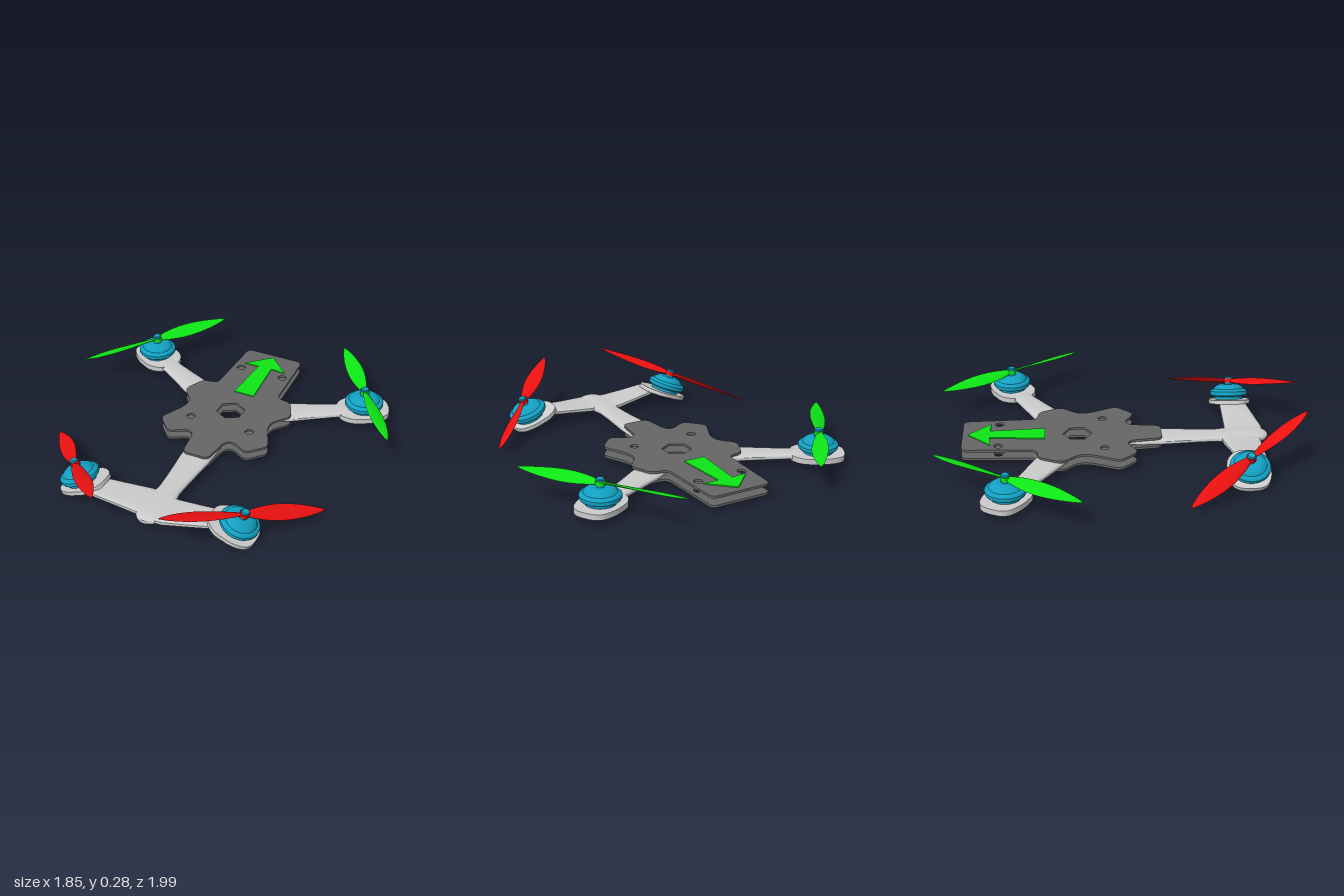
import * as THREE from 'three';
import { toCreasedNormals } from 'three/addons/utils/BufferGeometryUtils.js';

const mat = (color) => new THREE.MeshStandardMaterial({ color });
const GREY = mat(0xcccccc), PLATE = mat(0x666666), BLUE = mat(0x12a0c2);
const GREEN = mat(0x0ee616), RED = mat(0xee1111);

function add(parent, name, geometry, material) {
  const mesh = new THREE.Mesh(geometry, material);
  mesh.name = name;
  parent.add(mesh);
  return mesh;
}

// Closed polygon with softened corners; points are [x, z] seen from above.
function roundedShape(points, radius) {
  const p = points.map(([x, z]) => new THREE.Vector2(x, -z));
  const shape = new THREE.Shape();
  p.forEach((c, i) => {
    const toward = (o) => c.clone().lerp(o, Math.min(0.48, radius / c.distanceTo(o)));
    const a = toward(p[(i + p.length - 1) % p.length]);
    const b = toward(p[(i + 1) % p.length]);
    if (i) shape.lineTo(a.x, a.y);
    else shape.moveTo(a.x, a.y);
    shape.quadraticCurveTo(c.x, c.y, b.x, b.y);
  });
  shape.closePath();
  return shape;
}

// Flat slab lying in xz, from y = 0 up to y = depth.
function slab(shape, depth) {
  const geo = new THREE.ExtrudeGeometry(shape, { depth, bevelEnabled: false, curveSegments: 8 });
  return toCreasedNormals(geo.rotateX(-Math.PI / 2), 0.6);
}

// Lofted solid along x. Section: [x, halfWidth, halfHeight, y, z, pitch]; power < 1 squares it off.
function loft(sections, power = 1, n = 24) {
  const first = sections[0], last = sections[sections.length - 1];
  const cap = (s) => [s[0], 0, 0, ...s.slice(3)];
  const rings = [cap(first), ...sections, cap(last)];
  const pos = [], index = [];
  const soft = (v) => Math.sign(v) * Math.abs(v) ** power;
  rings.forEach(([x, w, h, y = 0, z = 0, pitch = 0], i) => {
    for (let j = 0; j < n; j++) {
      const a = (j / n) * Math.PI * 2;
      const dz = w * soft(Math.cos(a)), dy = h * soft(Math.sin(a));
      pos.push(x, y + dy * Math.cos(pitch) - dz * Math.sin(pitch), z + dz * Math.cos(pitch) + dy * Math.sin(pitch));
      if (i === rings.length - 1) continue;
      const A = i * n + j, C = i * n + (j + 1) % n;
      index.push(A, A + n, C, A + n, C + n, C);
    }
  });
  const geo = new THREE.BufferGeometry();
  geo.setAttribute('position', new THREE.Float32BufferAttribute(pos, 3));
  geo.setIndex(index);
  return toCreasedNormals(geo, 0.7);
}

// Frame plate: half outline mirrored, with a hexagonal window and four bolt holes.
function plateGeometry() {
  const half = [[0.172, -0.87], [0.187, -0.466], [0.275, -0.455], [0.33, -0.33], [0.252, -0.238],
    [0.254, -0.175], [0.326, -0.02], [0.233, 0.08], [0.135, 0.022], [0.095, 0.045], [0.075, 0.217]];
  const shape = roundedShape([...half, ...half.map(([x, z]) => [-x, z]).reverse()], 0.035);
  const hex = [];
  for (let i = 0; i < 6; i++) {
    const a = (i / 6) * Math.PI * 2;
    hex.push([Math.sin(a) * 0.08, -0.243 + Math.cos(a) * 0.08]);
  }
  shape.holes.push(roundedShape(hex, 0.006));
  for (const s of [1, -1]) {
    for (const [x, z] of [[0.13, -0.67], [0.178, -0.1]]) {
      shape.holes.push(new THREE.Path().absarc(s * x, -z, 0.024, 0, Math.PI * 2));
    }
  }
  return slab(shape, 0.013);
}

// Two-bladed propeller; spin = 1 or -1 sets the direction of the blade pitch.
function propeller(material, spin) {
  const group = new THREE.Group();
  group.name = 'propeller';
  const rows = [];
  for (let i = 0; i <= 16; i++) {
    const t = i / 16;
    const width = 0.014 + 0.031 * Math.sin(Math.PI * Math.min(1, t * 1.02) ** 0.9);
    const tip = Math.sqrt(Math.max(0.02, 1 - t ** 12));
    rows.push([0.01 + 0.457 * t, width * tip, 0.007 - 0.004 * t, 0, 0, spin * (0.5 - 0.34 * t)]);
  }
  const blade = loft(rows, 1, 16);
  for (const turn of [0, Math.PI]) add(group, 'blade', blade, material).rotation.y = turn;
  add(group, 'propellerHub', new THREE.CylinderGeometry(0.026, 0.026, 0.022, 24), material);
  return group;
}

const motorProfile = [[0, 0], [0.08, 0], [0.082, 0.016], [0.102, 0.022], [0.107, 0.03], [0.107, 0.046],
  [0.098, 0.056], [0.086, 0.06], [0.08, 0.07], [0.062, 0.082], [0.05, 0.086], [0.022, 0.086],
  [0.022, 0.125], [0.018, 0.13], [0, 0.13]].map(([x, y]) => new THREE.Vector2(x, y));

// Mount pad, motor and propeller; origin at the motor's foot.
function motorUnit(name, { yaw, thickness, end, material, spin, propAngle }) {
  const unit = new THREE.Group();
  unit.name = name;
  const side = [[-0.15, 0.06], [-0.085, 0.114], [0.03, 0.116], [end * 0.8, 0.09], [end, 0.045]];
  const pad = roundedShape([...side, ...side.map(([u, v]) => [u, -v]).reverse()], 0.04);
  const mount = add(unit, 'motorMount', slab(pad, thickness), GREY);
  mount.position.y = -thickness;
  mount.rotation.y = yaw;
  add(unit, 'motor', toCreasedNormals(new THREE.LatheGeometry(motorProfile, 40), 0.5), BLUE);
  const prop = propeller(material, spin);
  prop.position.y = 0.107;
  prop.rotation.y = propAngle;
  unit.add(prop);
  return unit;
}

export function createModel() {
  const model = new THREE.Group();
  model.name = 'quadcopter';
  const deg = Math.PI / 180;

  // Twin frame plates
  const plate = plateGeometry();
  add(model, 'lowerPlate', plate, PLATE).position.y = 0.021;
  add(model, 'upperPlate', plate, PLATE).position.y = 0.07;

  // Direction arrow on the upper plate
  const arrow = new THREE.Shape([[0.06, -0.42], [0.04, -0.72], [0.127, -0.715], [0, -0.84],
    [-0.127, -0.715], [-0.04, -0.72], [-0.06, -0.42]].map(([x, z]) => new THREE.Vector2(x, -z)));
  add(model, 'directionArrow', slab(arrow, 0.006), GREEN).position.y = 0.083;

  // Tail beam from the frame to the rear crossbar
  const beam = add(model, 'tailBeam', loft([[-0.06, 0.07, 0.018], [0.1, 0.085, 0.019], [0.22, 0.084, 0.019],
    [0.4, 0.068, 0.018], [0.52, 0.062, 0.018], [0.58, 0.074, 0.02], [0.64, 0.08, 0.022], [0.72, 0.08, 0.022],
    [0.76, 0.068, 0.02], [0.785, 0.048, 0.016], [0.8, 0.02, 0.01]], 0.75), GREY);
  beam.rotation.y = -Math.PI / 2;
  beam.position.y = 0.053;

  const frontArm = loft([[-0.56, 0.078, 0.018], [-0.42, 0.08, 0.019], [-0.28, 0.066, 0.019],
    [-0.16, 0.056, 0.018], [-0.1, 0.066, 0.016], [-0.04, 0.075, 0.013]], 0.75);
  const rearArm = loft([[0, 0.108, 0.017, 0.054, 0.675], [0.09, 0.103, 0.016, 0.056, 0.675],
    [0.22, 0.088, 0.014, 0.068, 0.662], [0.35, 0.073, 0.014, 0.081, 0.648], [0.385, 0.07, 0.011, 0.076, 0.646]], 0.5);

  for (const s of [1, -1]) {
    const label = s > 0 ? 'left' : 'right';

    // Front arm, swept outward, with an upright motor
    const yaw = s > 0 ? 29.5 * deg : Math.PI - 29.5 * deg;
    const arm = add(model, label + 'FrontArm', frontArm, GREY);
    arm.position.set(s * 0.656, 0.052, -0.615);
    arm.rotation.y = yaw;
    const front = motorUnit(label + 'FrontMotorUnit', { yaw, thickness: 0.03, end: 0.142,
      material: GREEN, spin: -s, propAngle: -55 * deg * s });
    front.position.set(s * 0.656, 0.065, -0.615);
    model.add(front);

    // Rear half crossbar, with a motor tilted outward
    const bar = rearArm.clone();
    if (s < 0) bar.rotateY(Math.PI).translate(0, 0, 1.325);
    add(model, label + 'RearArm', bar, GREY);
    const rear = motorUnit(label + 'RearMotorUnit', { yaw: s > 0 ? 0 : Math.PI, thickness: 0.022, end: 0.115,
      material: RED, spin: s, propAngle: 46.4 * deg * s });
    rear.position.set(s * 0.447, 0.062, 0.643);
    rear.rotation.z = -21 * deg * s;
    model.add(rear);
  }

  model.rotation.y = -0.013;
  return model;
}
